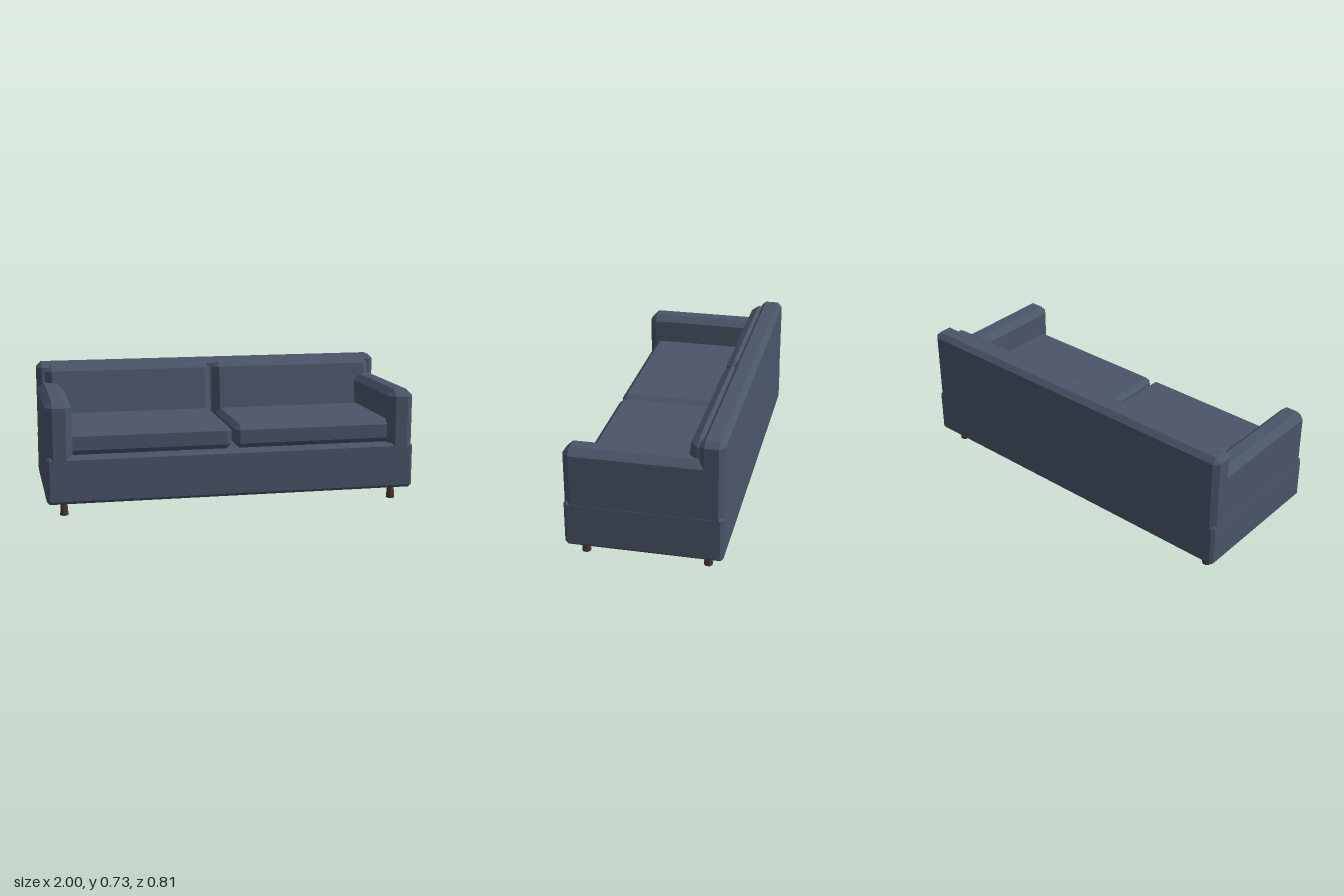
import * as THREE from 'three';
import { ConvexGeometry } from 'three/addons/geometries/ConvexGeometry.js';

// Box with flat 45-degree chamfers on every edge, centred on the origin
function chamferBox(w, h, d, c) {
  const points = [];
  for (const sx of [-1, 1]) for (const sy of [-1, 1]) for (const sz of [-1, 1]) {
    const corner = new THREE.Vector3(sx * w / 2, sy * h / 2, sz * d / 2);
    points.push(
      corner.clone().sub(new THREE.Vector3(0, sy * c, sz * c)),
      corner.clone().sub(new THREE.Vector3(sx * c, 0, sz * c)),
      corner.clone().sub(new THREE.Vector3(sx * c, sy * c, 0)));
  }
  return new ConvexGeometry(points);
}

export function createModel() {
  const sofa = new THREE.Group();
  sofa.name = 'sofa';

  const fabric = new THREE.MeshStandardMaterial({ color: 0x4a5568 });
  fabric.name = 'slate fabric';
  const wood = new THREE.MeshStandardMaterial({ color: 0x4a3728 });
  wood.name = 'dark wood';

  function add(name, geometry, material, x, y, z) {
    const mesh = new THREE.Mesh(geometry, material);
    mesh.name = name;
    mesh.position.set(x, y, z);
    sofa.add(mesh);
    return mesh;
  }

  // Upholstered block given by its extents
  function block(name, [x0, x1], [y0, y1], [z0, z1], chamfer) {
    return add(name, chamferBox(x1 - x0, y1 - y0, z1 - z0, chamfer), fabric,
      (x0 + x1) / 2, (y0 + y1) / 2, (z0 + z1) / 2);
  }

  // Frame
  block('base', [-1, 1], [0.075, 0.326], [-0.407, 0.407], 0.016);
  block('backrest', [-0.999, 0.999], [0.2, 0.727], [-0.407, -0.281], 0.027);

  // Tapered legs, wider at the foot
  const legGeometry = new THREE.CylinderGeometry(0.0165, 0.0235, 0.085, 8).toNonIndexed();
  legGeometry.rotateY(Math.PI / 8);
  legGeometry.computeVertexNormals();

  // Leaning back cushion: tilted about its upper front corner
  const tilt = -0.15, cushionH = 0.38, cushionD = 0.18;
  const backCushion = chamferBox(0.947, cushionH, cushionD, 0.0355);
  backCushion.translate(0, -cushionH / 2, -cushionD / 2);
  backCushion.rotateX(tilt);

  for (const [side, s] of [['left', 1], ['right', -1]]) {
    const span = (a, b) => s > 0 ? [a, b] : [-b, -a];
    block(side + 'Arm', span(0.859, 0.999), [0.2, 0.62], [-0.36, 0.407], 0.036);
    block(side + 'SeatCushion', span(0.008, 0.955), [0.325, 0.455], [-0.197, 0.37], 0.028);
    add(side + 'BackCushion', backCushion, fabric, s * 0.4815, 0.72, -0.235);
    add(side + 'FrontLeg', legGeometry, wood, s * 0.907, 0.0425, 0.32);
    add(side + 'BackLeg', legGeometry, wood, s * 0.907, 0.0425, -0.317);
  }

  return sofa;
}
